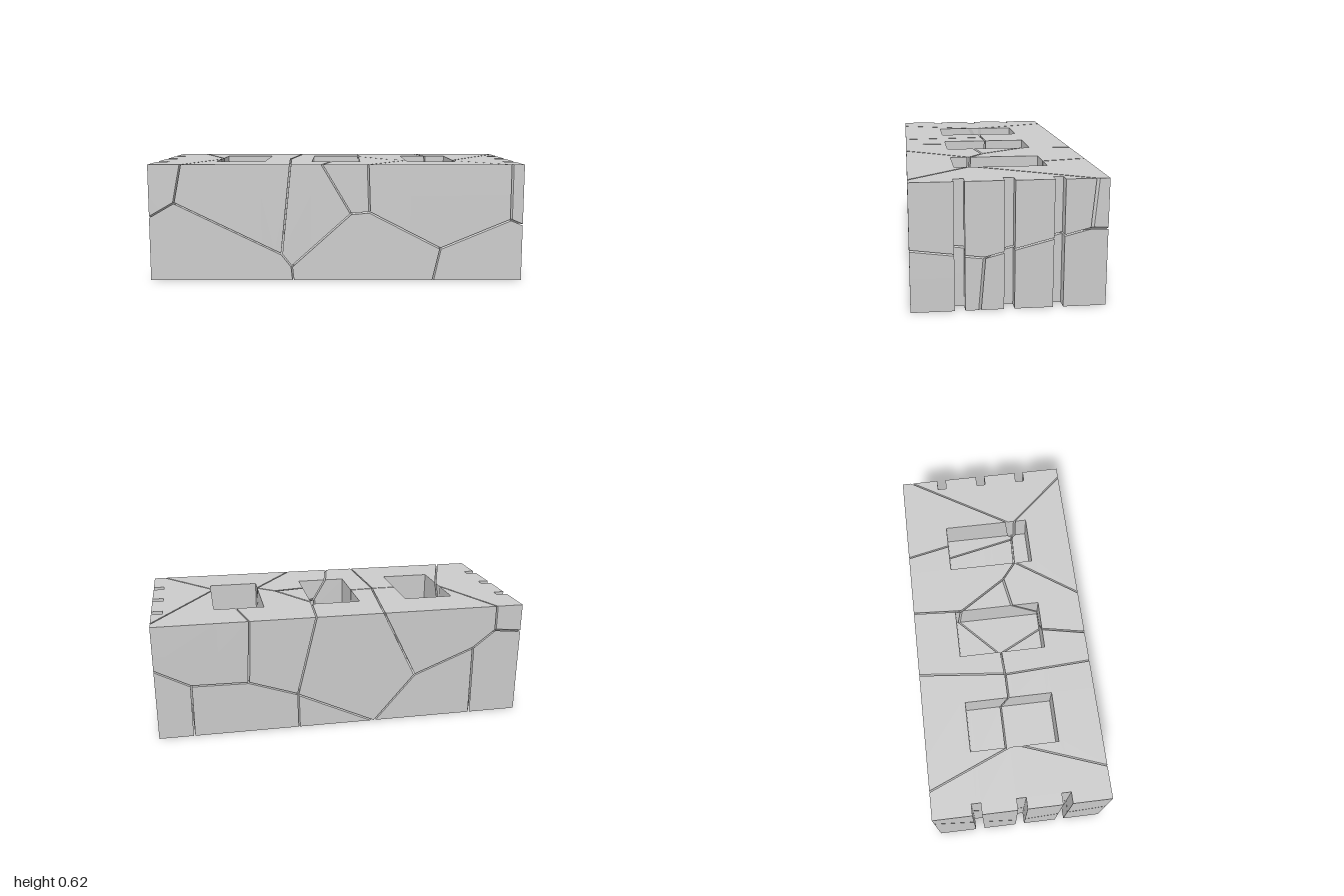
import * as THREE from 'three';

// Block layout: grid lines along x, y, z that bound the pockets and end grooves
const GRID = [
  [-1, -0.94, -0.67, -0.4, -0.135, 0.135, 0.4, 0.67, 0.94, 1],
  [0, 0.165, 0.46, 0.625],
  [-0.468, -0.26, -0.235, -0.21, -0.025, 0.025, 0.21, 0.235, 0.26, 0.468],
];
const HALF_GAP = 0.004;

// Centres of the fractured pieces: x, y, z and a small size bias
const SEEDS = [
  // upper pieces
  [-0.98, 0.62, 0, 0], [-0.43, 0.51, 0.2, 0], [-0.43, 0.62, -0.23, 0],
  [-0.11, 0.477, 0.183, 0], [-0.13, 0.473, -0.2, 0], [0.15, 0.63, 0.235, 0],
  [0.445, 0.64, 0.44, 0.0106], [0.96, 0.64, -0.02, 0.008], [0.66, 0.624, -0.205, 0.0095],
  [0.465, 0.616, -0.163, 0.0095], [0.12, 0.44, 0.065, 0.006],
  // lower pieces
  [-0.652, 0.051, 0.17, 0], [0.19, 0.144, 0.2, 0], [0.7, 0.03, 0.06, -0.003],
  [0.98, 0.01, -0.18, 0], [0.67, 0.01, -0.17, 0], [0.08, 0.02, 0.02, 0],
  [-0.68, 0, -0.26, 0], [-0.918, 0, -0.37, 0],
].map(([x, y, z, bias]) => {
  const p = new THREE.Vector3(x, y, z);
  return { p, c: -p.lengthSq() / 2 + bias };
});

// Is the grid cell (i, j, k) filled with stone?
function isSolid(i, j, k) {
  const cell = [i, j, k];
  if (cell.some((n, a) => n < 0 || n >= GRID[a].length - 1)) return false;
  const [x, , z] = cell.map((n, a) => (GRID[a][n] + GRID[a][n + 1]) / 2);
  const groove = Math.abs(x) > 0.94 &&
    [-0.235, 0, 0.235].some((c) => Math.abs(z - c) < 0.025);
  const pocket = j !== 1 && Math.abs(z) < 0.235 &&
    [-0.535, 0, 0.535].some((c) => Math.abs(x - c) < 0.135);
  return !groove && !pocket;
}

// Six faces of a grid cell; a face against more stone is not shown
function cellFaces(cell) {
  const faces = [];
  for (let a = 0; a < 3; a++) {
    const u = (a + 1) % 3, v = (a + 2) % 3;
    for (const side of [0, 1]) {
      const pts = [[0, 0], [1, 0], [1, 1], [0, 1]].map(([du, dv]) => {
        const q = [];
        q[a] = GRID[a][cell[a] + side];
        q[u] = GRID[u][cell[u] + du];
        q[v] = GRID[v][cell[v] + dv];
        return new THREE.Vector3(...q);
      });
      if (!side) pts.reverse();
      const next = [...cell];
      next[a] += side ? 1 : -1;
      faces.push({ pts, shown: !isSolid(...next) });
    }
  }
  return faces;
}

// Keep the part of a convex solid where n.p <= d, and cap the cut
function clip(faces, n, d) {
  const kept = [], rim = [];
  for (const { pts, shown } of faces) {
    const out = [];
    pts.forEach((a, i) => {
      const b = pts[(i + 1) % pts.length];
      const da = n.dot(a) - d, db = n.dot(b) - d;
      if (da <= 0) out.push(a);
      if ((da <= 0) !== (db <= 0)) {
        const m = a.clone().lerp(b, da / (da - db));
        out.push(m);
        if (!rim.some((r) => r.distanceTo(m) < 1e-6)) rim.push(m);
      }
    });
    if (out.length > 2) kept.push({ pts: out, shown });
  }
  if (rim.length > 2) {
    const mid = rim.reduce((s, r) => s.add(r), new THREE.Vector3()).divideScalar(rim.length);
    const u = rim[0].clone().sub(mid).normalize();
    const v = n.clone().cross(u);
    const angle = (r) => {
      const e = r.clone().sub(mid);
      return Math.atan2(e.dot(v), e.dot(u));
    };
    rim.sort((a, b) => angle(a) - angle(b));
    kept.push({ pts: rim, shown: true });
  }
  return kept;
}

// Planes that separate one piece from all others, set back by half the crack width
function piecePlanes(seed) {
  return SEEDS.filter((s) => s !== seed).map((s) => {
    const n = s.p.clone().sub(seed.p);
    const len = n.length();
    return { n: n.divideScalar(len), d: (seed.c - s.c) / len - HALF_GAP };
  });
}

function pieceGeometry(seed) {
  const planes = piecePlanes(seed);
  const positions = [];
  for (let i = 0; i < GRID[0].length - 1; i++)
    for (let j = 0; j < GRID[1].length - 1; j++)
      for (let k = 0; k < GRID[2].length - 1; k++) {
        if (!isSolid(i, j, k)) continue;
        let faces = cellFaces([i, j, k]);
        for (const { n, d } of planes) {
          faces = clip(faces, n, d);
          if (!faces.length) break;
        }
        for (const { pts, shown } of faces) {
          if (!shown) continue;
          for (let t = 1; t < pts.length - 1; t++)
            for (const p of [pts[0], pts[t], pts[t + 1]]) positions.push(p.x, p.y, p.z);
        }
      }
  const geometry = new THREE.BufferGeometry();
  geometry.setAttribute('position', new THREE.Float32BufferAttribute(positions, 3));
  geometry.computeVertexNormals();
  return geometry;
}

export function createModel() {
  const group = new THREE.Group();
  group.name = 'crackedBlock';
  const material = new THREE.MeshStandardMaterial({ color: 0xcccccc, flatShading: true });
  SEEDS.forEach((seed, i) => {
    const mesh = new THREE.Mesh(pieceGeometry(seed), material);
    mesh.name = `stonePiece${i + 1}`;
    group.add(mesh);
  });
  return group;
}
